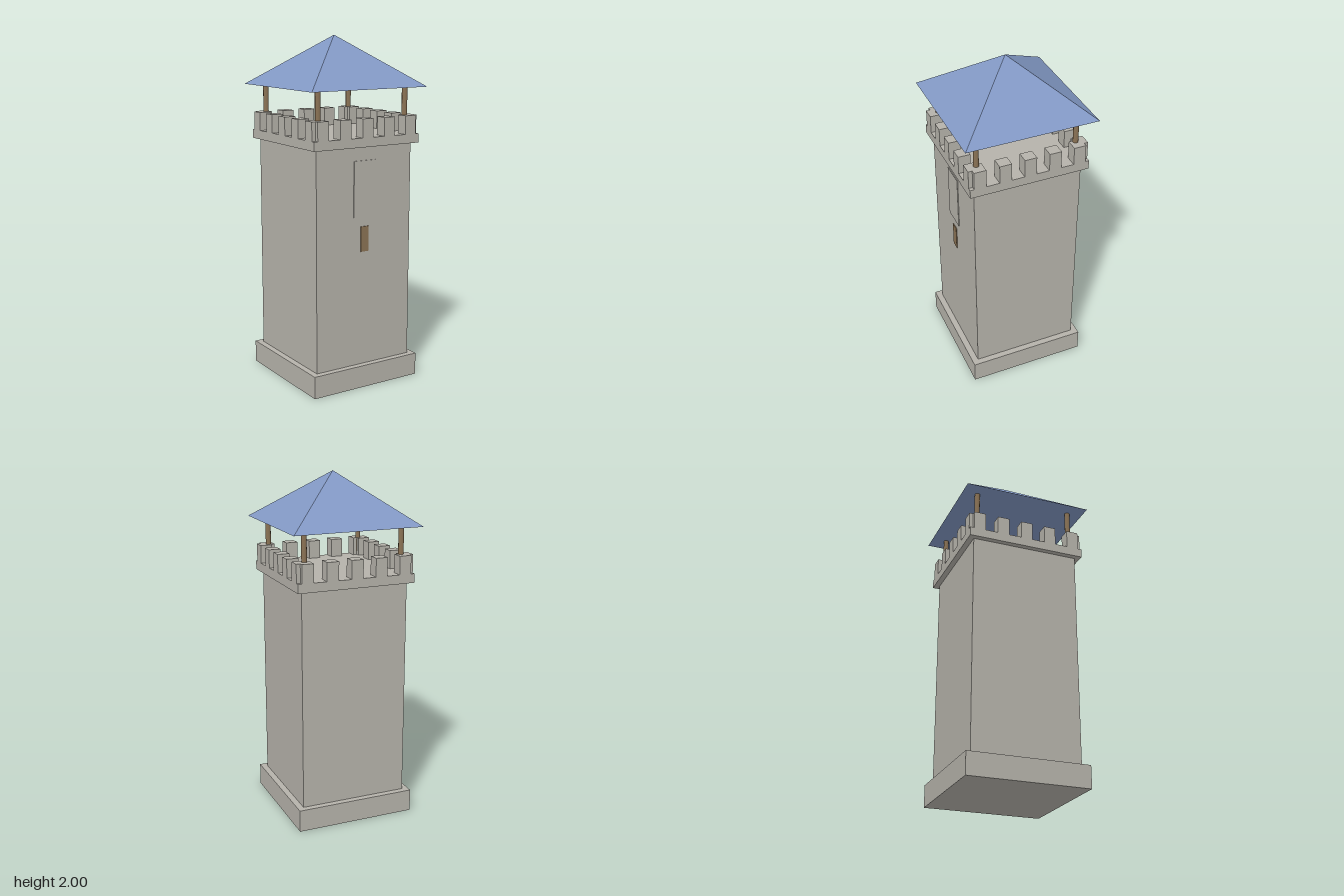
import * as THREE from 'three';

const stone = new THREE.MeshStandardMaterial({ color: 0xb5b2aa });
stone.name = 'stone';
const wood = new THREE.MeshStandardMaterial({ color: 0x8b7355 });
wood.name = 'wood';
const slate = new THREE.MeshStandardMaterial({ color: 0x8298c4, flatShading: true });
slate.name = 'blueSlate';

export function createModel() {
  const tower = new THREE.Group();
  tower.name = 'watchtower';

  function add(name, geometry, material, x, y, z) {
    const mesh = new THREE.Mesh(geometry, material);
    mesh.name = name;
    mesh.position.set(x, y, z);
    tower.add(mesh);
    return mesh;
  }

  // Box given by its footprint and its bottom and top heights
  function block(name, material, w, d, y0, y1, x = 0, z = 0) {
    return add(name, new THREE.BoxGeometry(w, y1 - y0, d), material, x, (y0 + y1) / 2, z);
  }

  // Masonry: plinth, shaft and parapet slab
  block('plinth', stone, 0.705, 0.705, 0, 0.13);
  block('shaft', stone, 0.632, 0.632, 0.13, 1.398);
  block('parapet', stone, 0.696, 0.696, 1.398, 1.45);

  // Battlements: five merlons along each side
  const half = 0.348, depth = 0.07, width = 0.07;
  for (let side = 0; side < 4; side++) {
    const row = new THREE.Group();
    row.name = 'battlementRow';
    row.rotation.y = side * Math.PI / 2;
    for (let i = -2; i <= 2; i++) {
      const merlon = block('merlon', stone, width, depth, 1.45, 1.555, i * 0.145, half - depth / 2);
      row.add(merlon);
    }
    tower.add(row);
  }

  // Corner posts carrying the roof
  for (const x of [-0.289, 0.289]) {
    for (const z of [-0.289, 0.289]) {
      add('roofPost', new THREE.CylinderGeometry(0.016, 0.016, 0.267, 8), wood, x, 1.5835, z);
    }
  }

  // Pyramid roof, turned so its eaves follow the walls
  const roof = new THREE.ConeGeometry(0.38 * Math.SQRT2, 0.285, 4);
  roof.rotateY(Math.PI / 4);
  add('roof', roof, slate, 0, 1.8575, 0);

  // Front wall details: raised stone panel and narrow shutter
  block('stonePanel', stone, 0.145, 0.006, 1.0, 1.32, 0, 0.318);
  block('windowShutter', wood, 0.052, 0.006, 0.8, 0.945, 0, 0.318);

  return tower;
}
